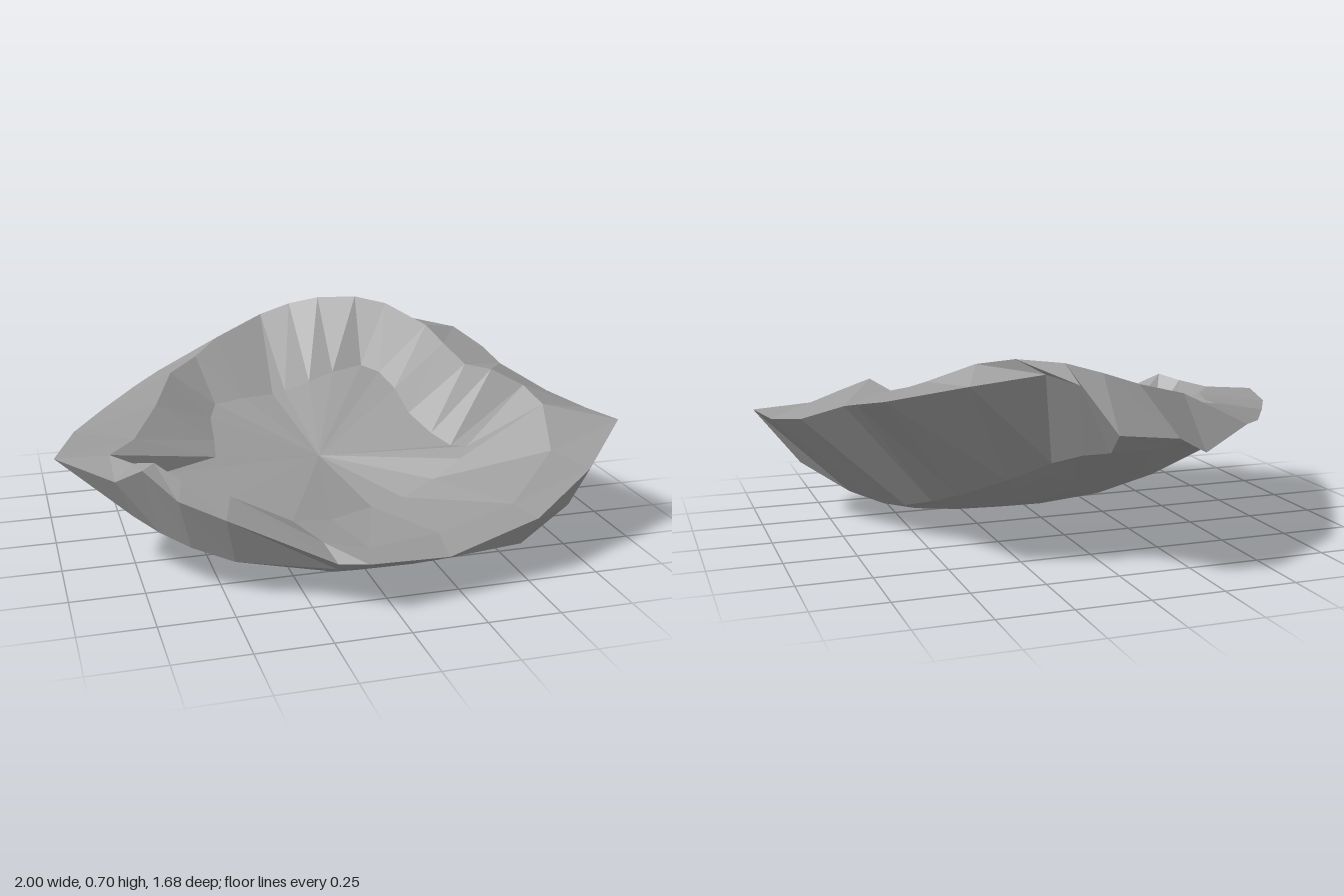
import * as THREE from 'three';

const P = (x, y, z) => new THREE.Vector3(x, y, z);
const toPoints = (rows) => rows.map(([x, y, z]) => P(x, y, z));

// Outermost edge, running from the left side round the back to the front
const rim = toPoints([
  [1, .41, .38], [.96, .405, .2], [.88, .43, .03], [.76, .5, -.15], [.75, .53, -.3], [.7, .57, -.5],
  [.45, .62, -.6], [.22, .655, -.66], [.14, .63, -.75], [.04, .48, -.83], [-.16, .46, -.845], [-.27, .4, -.81],
  [-.52, .44, -.62], [-.64, .42, -.48], [-.78, .41, -.26], [-.91, .4, -.04], [-1, .4, .23], [-.82, .36, .4],
  [-.74, .42, .48], [-.64, .33, .55], [-.5, .28, .63], [-.17, .15, .77], [-.09, .17, .84], [.2, .14, .79],
  [.55, .2, .7], [.82, .29, .53],
]);

// Raised ridge around the hollow
const crest = toPoints([
  [.76, .45, .25], [.72, .5, .16], [.62, .55, .09], [.58, .53, -.07], [.56, .57, -.25], [.54, .61, -.4],
  [.41, .68, -.53], [.3, .7, -.6], [.16, .69, -.67], [.05, .66, -.72], [-.07, .62, -.73], [-.28, .56, -.62],
  [-.38, .51, -.54], [-.5, .48, -.43], [-.6, .44, -.15], [-.72, .41, .13], [-.82, .41, .27], [-.76, .42, .4],
  [-.7, .44, .47], [-.62, .39, .53], [-.48, .35, .6], [-.2, .2, .7], [-.06, .18, .74], [.2, .18, .68],
  [.5, .22, .6], [.72, .33, .42],
]);

// Edge of the sloping floor of the hollow
const floor = toPoints([
  [.47, .31, .24], [.44, .29, .16], [.4, .31, .06], [.36, .35, -.08], [.36, .4, -.25], [.33, .44, -.36],
  [.27, .46, -.41], [.15, .44, -.41], [.05, .41, -.4], [-.05, .38, -.4], [-.1, .37, -.4], [-.22, .37, -.38],
  [-.34, .36, -.36], [-.38, .34, -.25], [-.4, .31, -.08], [-.42, .29, .05], [-.64, .29, .17], [-.64, .27, .38],
  [-.5, .25, .42], [-.4, .23, .45], [-.25, .2, .5], [-.1, .17, .45], [.08, .15, .33], [.2, .17, .32],
  [.32, .22, .3], [.43, .28, .28],
]);

// Underside height: a keel line along z, flat towards the left side and curving up to the right
const keel = [[-.85, .42], [-.7, .4], [-.58, .36], [-.32, .2], [-.1, .09], [0, .055], [.2, .025],
  [.39, 0], [.56, .02], [.7, .09], [.85, .17]];
function underHeight(x, z) {
  let i = 0;
  while (i < keel.length - 2 && z > keel[i + 1][0]) i++;
  const [z0, y0] = keel[i], [z1, y1] = keel[i + 1];
  const side = x > 0 ? .4 * x ** 4 : .38 * x * x;
  return THREE.MathUtils.lerp(y0, y1, (z - z0) / (z1 - z0)) + side;
}

// Where the side wall meets the underside (x, z): deep below the left flank, close to the rim elsewhere
const flankCrease = [[.84, .33], [.68, .22], [.59, .05], [.54, -.08], [.47, -.18], [.4, -.27],
  [.27, -.42], [.16, -.55], [.09, -.65], [.03, -.74]];
const underRing = (s) => rim.map((p, i) => {
  const [x, z] = (flankCrease[i] ?? [p.x * .93, p.z * .93]).map((v) => v * s);
  return P(x, underHeight(x, z), z);
});

// Joins consecutive rings with faceted quads, skipping collapsed triangles
function skin(name, rings, material) {
  const pts = [];
  const tri = (a, b, c) => {
    if (!a.equals(b) && !b.equals(c) && !c.equals(a)) pts.push(a, b, c);
  };
  for (let r = 0; r < rings.length - 1; r++) {
    const n = rings[r], o = rings[r + 1];
    for (let i = 0; i < n.length; i++) {
      const j = (i + 1) % n.length;
      tri(n[i], o[i], o[j]);
      tri(n[i], o[j], n[j]);
    }
  }
  const geometry = new THREE.BufferGeometry().setFromPoints(pts);
  geometry.computeVertexNormals();
  const mesh = new THREE.Mesh(geometry, material);
  mesh.name = name;
  return mesh;
}

export function createModel() {
  const stone = new THREE.MeshStandardMaterial({ color: 0x9c9c9c });
  stone.name = 'grey stone';
  stone.flatShading = true;

  const point = (p) => rim.map(() => p);
  const group = new THREE.Group();
  group.name = 'hollow rock';
  group.add(
    skin('rockHollow', [point(P(-.02, .24, 0)), floor, crest, rim], stone),
    skin('rockUnderside', [rim, ...[1, .8, .54, .27].map(underRing), point(P(0, .055, 0))], stone),
  );
  return group;
}
